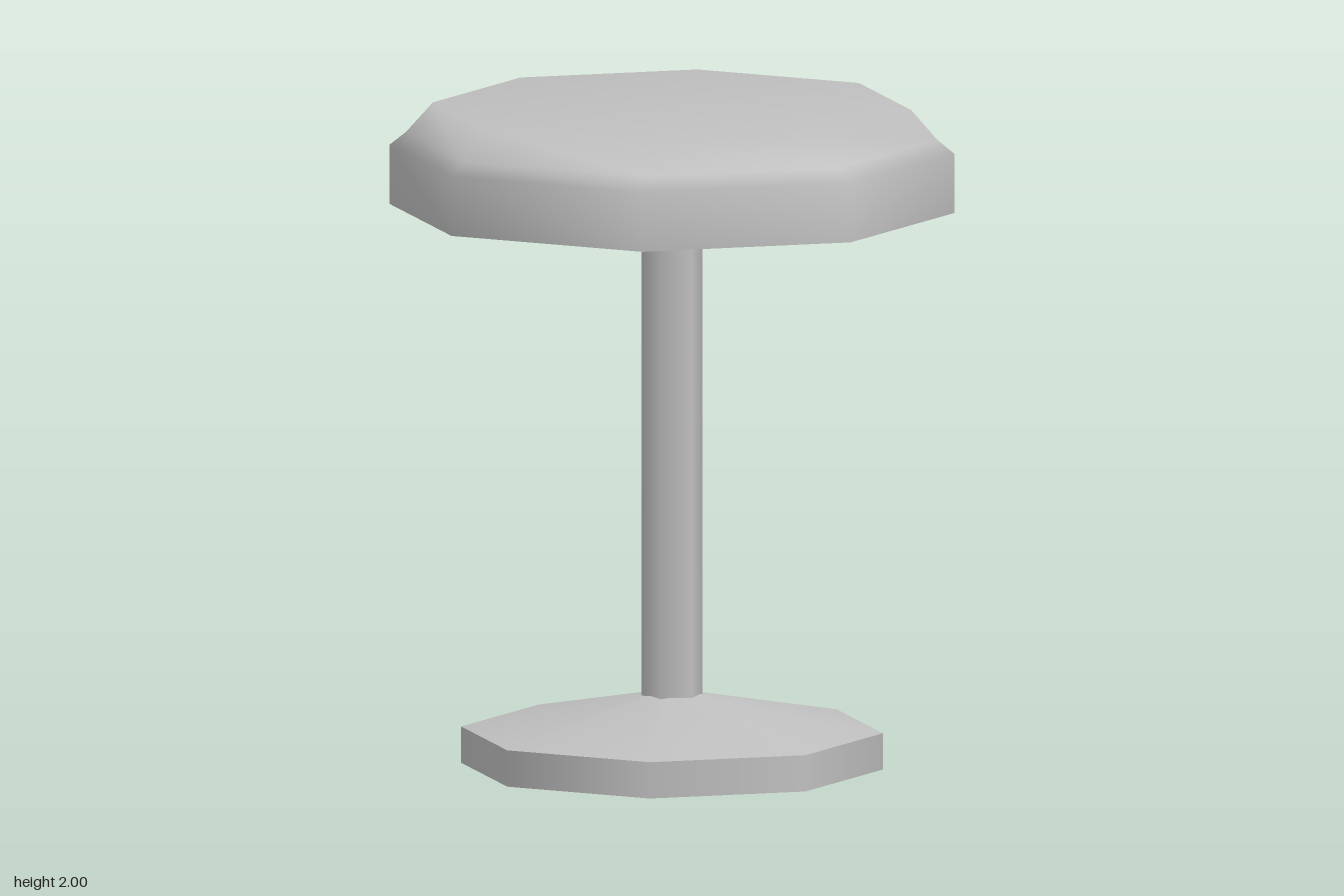
import * as THREE from 'three';

const grey = new THREE.MeshStandardMaterial({ name: 'plain grey', color: 0xbfbfbf, side: THREE.DoubleSide });

// Eight-sided shell turned around the y axis, corners on the x and z axes
function turned(name, profile) {
  const points = profile.map(([r, y]) => new THREE.Vector2(r, y));
  const mesh = new THREE.Mesh(new THREE.LatheGeometry(points, 8), grey);
  mesh.name = name;
  return mesh;
}

export function createModel() {
  const table = new THREE.Group();
  table.name = 'pedestalTable';

  // Hollow top with a soft bevel, open underneath
  table.add(turned('tableTop', [[0.85, 1.69], [0.85, 1.87], [0.8, 1.91], [0.72, 2], [0, 2]]));

  // Foot: upright rim and low cone, with a hard edge between them
  table.add(turned('footRim', [[0.635, 0], [0.635, 0.11]]));
  table.add(turned('footCone', [[0.635, 0.11], [0.08, 0.22], [0, 0.22]]));

  // Six-sided post between foot and top
  const bottom = 0.21, top = 1.69;
  const post = new THREE.Mesh(new THREE.CylinderGeometry(0.093, 0.093, top - bottom, 6), grey);
  post.position.y = (bottom + top) / 2;
  post.name = 'post';
  table.add(post);

  return table;
}
